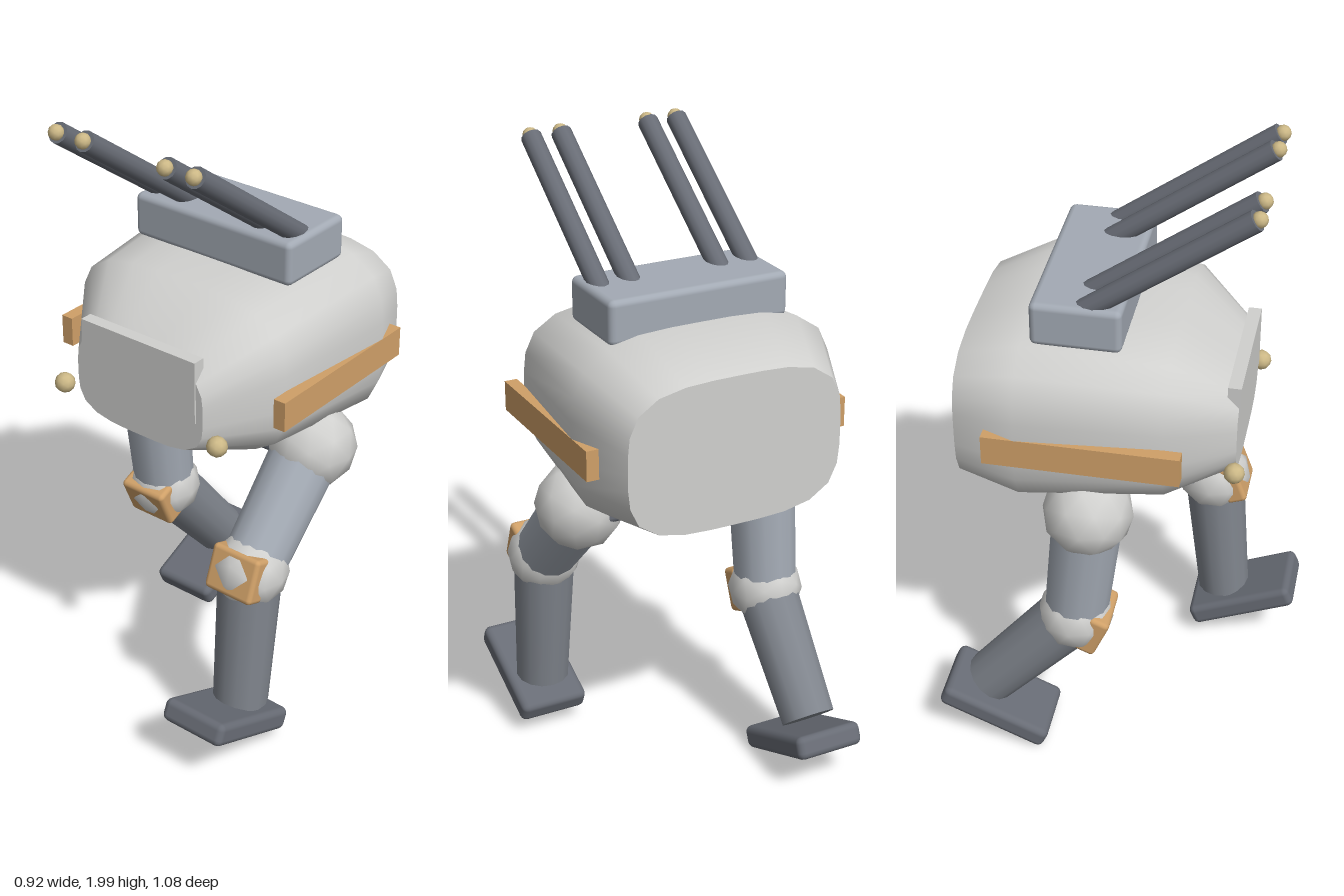
import * as THREE from 'three';
import { RoundedBoxGeometry } from 'three/addons/geometries/RoundedBoxGeometry.js';

const mat = (name, color) => Object.assign(new THREE.MeshStandardMaterial({ color }), { name });

// Hull: superelliptic cross-sections [z, halfWidth, yBottom, yTop] lofted from back to front
function hullGeometry(sections, sides = 28, power = 3.6) {
  const pos = [], index = [];
  const ring = ([z, w, y0, y1]) => {
    const start = pos.length / 3;
    for (let j = 0; j < sides; j++) {
      const a = (j / sides) * Math.PI * 2, c = Math.cos(a), s = Math.sin(a);
      const r = Math.pow(Math.abs(c) ** power + Math.abs(s) ** power, -1 / power);
      pos.push(w * c * r, (y0 + y1) / 2 + ((y1 - y0) / 2) * s * r, z);
    }
    return start;
  };
  const starts = sections.map(ring);
  for (let i = 0; i < starts.length - 1; i++) {
    for (let j = 0; j < sides; j++) {
      const k = (j + 1) % sides, a = starts[i], b = starts[i + 1];
      index.push(a + j, a + k, b + j, a + k, b + k, b + j);
    }
  }
  // flat end caps with their own vertices
  const back = ring(sections[0]), front = ring(sections[sections.length - 1]);
  for (let j = 1; j < sides - 1; j++) {
    index.push(back, back + j + 1, back + j, front, front + j, front + j + 1);
  }
  const g = new THREE.BufferGeometry();
  g.setAttribute('position', new THREE.Float32BufferAttribute(pos, 3));
  g.setIndex(index);
  g.computeVertexNormals();
  return g;
}

export function createModel() {
  const model = new THREE.Group();
  model.name = 'walker';
  const armour = mat('light grey armour', 0xd0d0ce);
  const steel = mat('blue grey steel', 0xa3aab4);
  const shinGrey = mat('shin grey', 0x80858d);
  const dark = mat('dark grey', 0x686c75);
  const tan = mat('tan trim', 0xcfa068);
  const brass = mat('pale brass', 0xcdb987);

  const add = (parent, name, geometry, material, x = 0, y = 0, z = 0, tilt = 0) => {
    const m = new THREE.Mesh(geometry, material);
    m.name = name;
    m.position.set(x, y, z);
    m.rotation.x = tilt;
    parent.add(m);
    return m;
  };
  const box = (w, h, d, r) => new RoundedBoxGeometry(w, h, d, 2, r);
  const ball = (r) => new THREE.IcosahedronGeometry(r, 1);
  // tapered rod between two points given as [y, z] at one x
  const rod = (parent, name, material, x, [y0, z0], [y1, z1], r0, r1, sides) => {
    const a = new THREE.Vector3(x, y0, z0), b = new THREE.Vector3(x, y1, z1);
    const m = add(parent, name, new THREE.CylinderGeometry(r1, r0, a.distanceTo(b), sides), material);
    m.position.copy(a).lerp(b, 0.5);
    m.quaternion.setFromUnitVectors(new THREE.Vector3(0, 1, 0), b.sub(a).normalize());
  };

  // Body
  add(model, 'hull', hullGeometry([
    [-0.45, 0.35, 0.99, 1.46],
    [-0.25, 0.43, 0.97, 1.55],
    [0.18, 0.39, 1.01, 1.51],
    [0.375, 0.24, 1.07, 1.36],
  ]), armour);
  add(model, 'frontPlate', new THREE.BoxGeometry(0.43, 0.2, 0.04), armour, 0, 1.29, 0.36);
  add(model, 'pelvis', box(0.62, 0.14, 0.22, 0.02), dark, 0, 1.0, -0.07);
  for (const side of [1, -1]) {
    add(model, 'sideRail', new THREE.BoxGeometry(0.04, 0.095, 0.585), tan, side * 0.41, 1.225, -0.055);
    add(model, 'lamp', ball(0.032), brass, side * 0.295, 1.145, 0.378);
  }

  // Gun mount and four raised barrels
  add(model, 'gunMount', box(0.585, 0.14, 0.27, 0.02), steel, 0, 1.585, -0.093);
  for (const x of [-0.25, -0.15, 0.145, 0.245]) {
    rod(model, 'barrel', dark, x, [1.62, -0.09], [1.975, 0.405], 0.032, 0.032, 12);
    add(model, 'muzzle', ball(0.024), brass, x, 1.978, 0.412);
  }

  // Legs in mid-stride; joints are [y, z]
  const legs = [
    { name: 'leftLeg', side: 1, knee: [0.65, 0.24], ankle: [0.18, 0.285], foot: [0.16, 0.36], pad: [0.67, 0.305], padTilt: -0.36, footTilt: -0.41 },
    { name: 'rightLeg', side: -1, knee: [0.535, -0.1], ankle: [0.195, -0.39], foot: [0.112, -0.36], pad: [0.508, -0.035], padTilt: 0.4, footTilt: 0.41 },
  ];
  const hip = [0.955, -0.055];
  for (const l of legs) {
    const leg = new THREE.Group();
    leg.name = l.name;
    model.add(leg);
    const x = l.side * 0.315;
    add(leg, 'hip', ball(0.14), armour, l.side * 0.32, ...hip);
    rod(leg, 'thigh', steel, x, hip, l.knee, 0.11, 0.1, 14);
    add(leg, 'knee', ball(0.12), armour, x, ...l.knee);
    rod(leg, 'shin', shinGrey, x, l.knee, l.ankle, 0.1, 0.087, 14);
    add(leg, 'kneePad', box(0.175, 0.145, 0.07, 0.015), tan, x, ...l.pad, l.padTilt);
    add(leg, 'foot', box(0.23, 0.075, 0.37, 0.022), dark, x, ...l.foot, l.footTilt);
  }
  return model;
}
